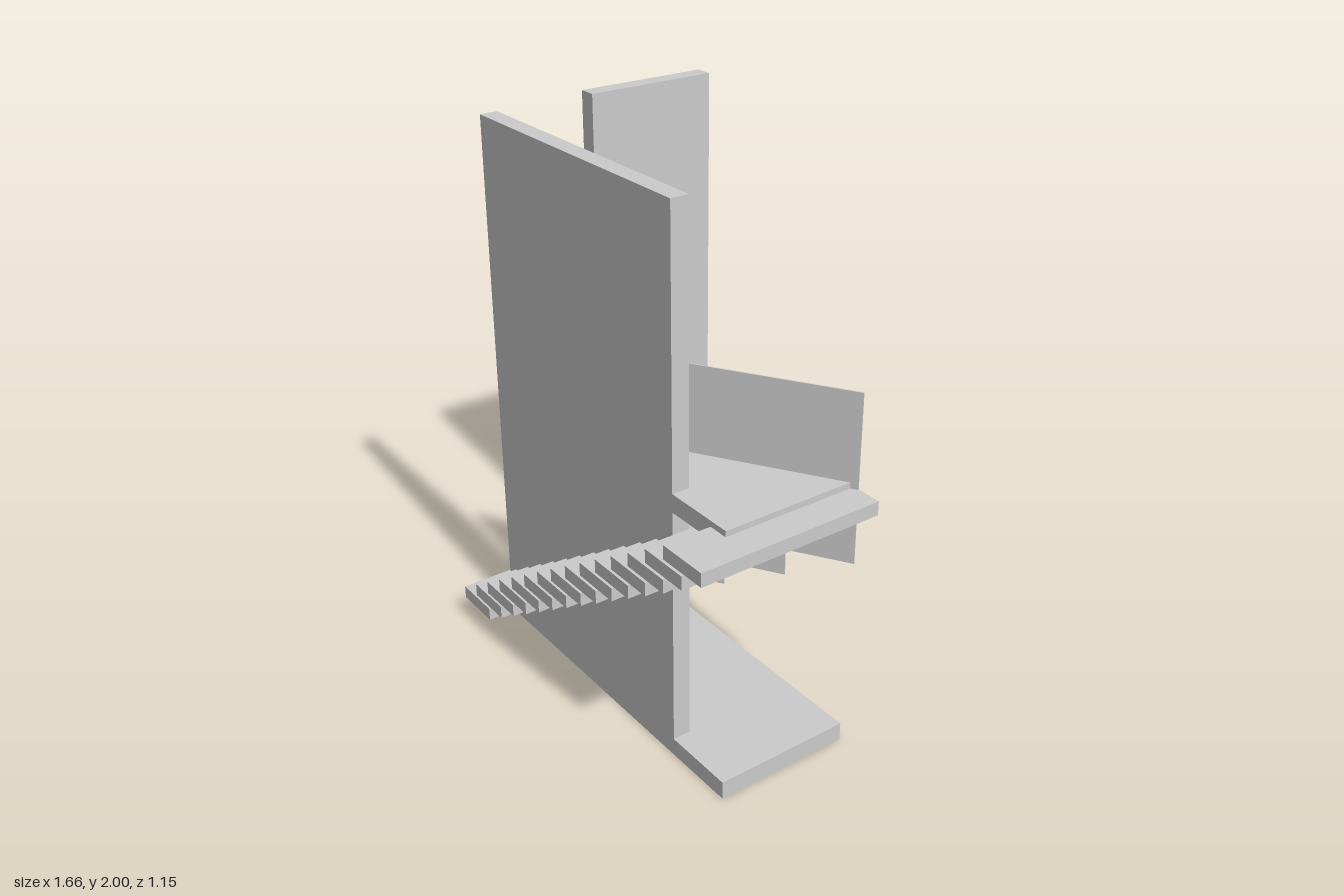
import * as THREE from 'three';

export function createModel() {
  const model = new THREE.Group();
  const grey = new THREE.MeshStandardMaterial({ color: 0xcccccc });
  grey.name = 'light grey';

  // Box given by its minimum and maximum corners
  function block(name, x0, x1, y0, y1, z0, z1) {
    const mesh = new THREE.Mesh(new THREE.BoxGeometry(x1 - x0, y1 - y0, z1 - z0), grey);
    mesh.position.set((x0 + x1) / 2, (y0 + y1) / 2, (z0 + z1) / 2);
    mesh.name = name;
    model.add(mesh);
  }

  // Walls and slabs
  block('mainWall', -0.668, 0.435, 0, 2, 0.33, 0.396);
  block('rearWall', -0.737, -0.67, 0.07, 2, -0.573, -0.055);
  block('floorSlab', -0.668, 0.71, 0, 0.067, -0.12, 0.396);
  block('upperLanding', -0.15, 0.71, 0.969, 1.036, -0.12, 0.396);

  // Overlapping treads that pass through the main wall
  for (let i = 0; i < 15; i++) {
    const x = -0.717 + i * 0.0965;
    const y = 0.095 + i * 0.0621;
    block('tread', x, x + 0.191, y, y + 0.05, -0.12, 0.573);
  }

  // Thin square panels set diagonally, climbing with the stairs
  for (let i = 0; i < 4; i++) {
    const panel = new THREE.Mesh(new THREE.BoxGeometry(0.624, 0.62, 0.005), grey);
    panel.position.set(-0.565 + i * 0.344, 0.381 + i * 0.222, 0.046);
    panel.rotation.y = Math.atan2(0.33, 0.53);
    panel.name = 'diagonalPanel';
    model.add(panel);
  }

  // Slanted rod running from the floor up through the landing
  const low = new THREE.Vector3(-0.42, 0.075, 0.05);
  const high = new THREE.Vector3(0.407, 1.3, 0.05);
  const along = high.clone().sub(low);
  const rod = new THREE.Mesh(new THREE.CylinderGeometry(0.008, 0.008, along.length(), 16), grey);
  rod.position.copy(low).add(high).multiplyScalar(0.5);
  rod.quaternion.setFromUnitVectors(new THREE.Vector3(0, 1, 0), along.normalize());
  rod.name = 'slantedRod';
  model.add(rod);

  return model;
}
